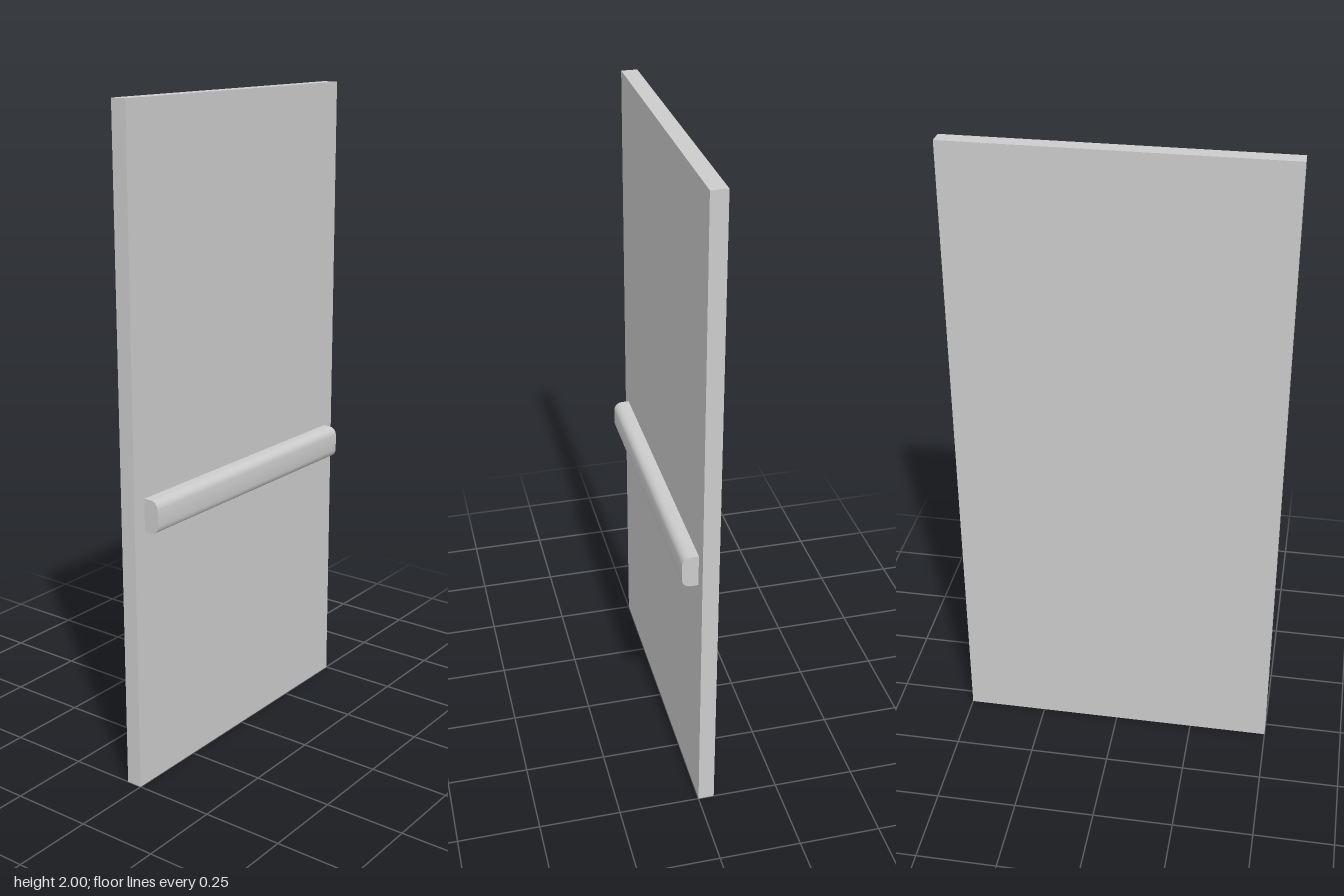
import * as THREE from 'three';
import { toCreasedNormals } from 'three/addons/utils/BufferGeometryUtils.js';

export function createModel() {
  const group = new THREE.Group();
  const material = new THREE.MeshStandardMaterial({ color: 0xcccccc });
  const depth = 0.049;

  // Flat door slab
  const panel = new THREE.Mesh(new THREE.BoxGeometry(1, 2, depth), material);
  panel.name = 'doorPanel';
  panel.position.set(0, 1, -depth / 2);
  group.add(panel);

  // Push bar: profile with rounded front corners, extruded across the door
  const half = 0.05, r = 0.025, length = 0.914;
  const profile = new THREE.Shape();
  profile.moveTo(0, -half);
  profile.lineTo(depth - r, -half);
  profile.absarc(depth - r, -half + r, r, -Math.PI / 2, 0);
  profile.absarc(depth - r, half - r, r, 0, Math.PI / 2);
  profile.lineTo(0, half);
  profile.closePath();
  const extruded = new THREE.ExtrudeGeometry(profile, {
    depth: length, bevelEnabled: false, curveSegments: 2,
  });
  extruded.translate(0, 0, -length / 2);
  extruded.rotateY(-Math.PI / 2); // profile depth faces +z, length runs along x
  const bar = new THREE.Mesh(toCreasedNormals(extruded, Math.PI / 3), material);
  bar.name = 'pushBar';
  bar.position.y = 0.845;
  group.add(bar);

  return group;
}
